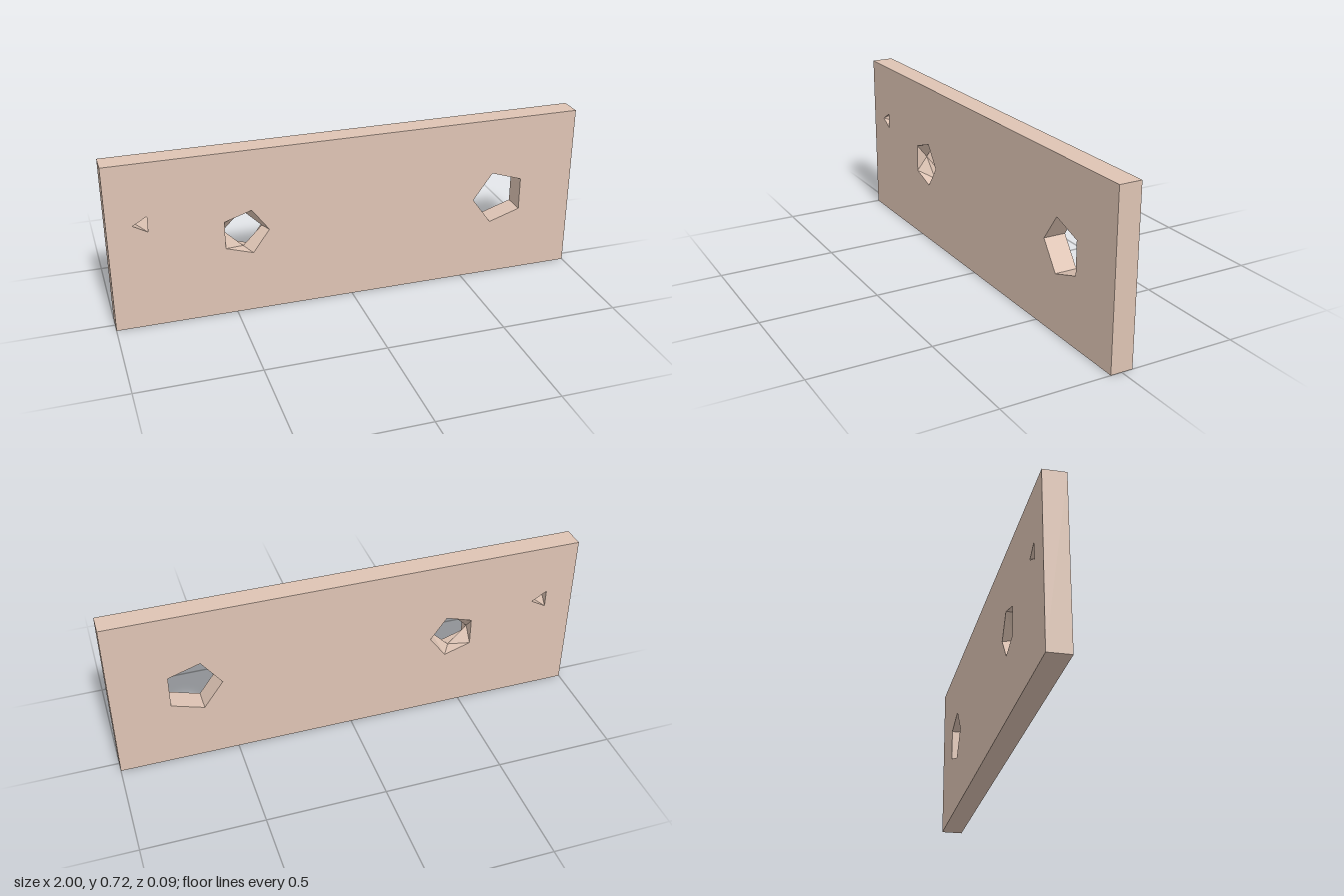
import * as THREE from 'three';
import { mergeGeometries } from 'three/addons/utils/BufferGeometryUtils.js';

const H = 0.717, D = 0.047; // plate height and half thickness

// Each hole is a stack of regular polygons from front to back
const ring = (x, y, r, sides, phase, z) => ({ x, y, r, sides, phase, z });
const HOLES = {
  largeHoleWall: [ring(0.665, 0.36, 0.12, 5, Math.PI, D), ring(0.665, 0.36, 0.12, 5, Math.PI, -D)],
  waistedHoleWall: [
    ring(-0.454, 0.36, 0.101, 5, 0, D),
    ring(-0.455, 0.36, 0.081, 4, 0, 0),
    ring(-0.454, 0.36, 0.101, 5, 0, -D),
  ],
  smallHoleWall: [
    ring(-0.859, 0.457, 0.039, 3, Math.PI, D),
    ring(-0.856, 0.457, 0.043, 3, Math.PI * 4 / 3, -D),
  ],
};

const angleAt = (g, i) => g.phase + (i * 2 * Math.PI) / g.sides;
const corner = (g, i) => {
  const a = angleAt(g, i);
  return [g.x + g.r * Math.cos(a), g.y + g.r * Math.sin(a), g.z];
};

// Wall between two rings, stepping round whichever ring is behind; it faces the hole's axis
function bridge(a, b) {
  const pos = [];
  let i = 0, j = 0;
  while (i < a.sides || j < b.sides) {
    const stepA = j >= b.sides || (i < a.sides && angleAt(a, i + 1) <= angleAt(b, j + 1) + 1e-6);
    if (stepA) {
      pos.push(...corner(a, i), ...corner(a, i + 1), ...corner(b, j));
      i++;
    } else {
      pos.push(...corner(a, i), ...corner(b, j + 1), ...corner(b, j));
      j++;
    }
  }
  const geo = new THREE.BufferGeometry();
  geo.setAttribute('position', new THREE.Float32BufferAttribute(pos, 3));
  geo.computeVertexNormals();
  return geo;
}

// Flat face pierced by the holes; the back one is drawn mirrored, then turned round
function face(front) {
  const s = front ? 1 : -1;
  const shape = new THREE.Shape([[-1, 0], [1, 0], [1, H], [-1, H]].map(p => new THREE.Vector2(...p)));
  for (const rings of Object.values(HOLES)) {
    const g = front ? rings[0] : rings[rings.length - 1];
    const pts = Array.from({ length: g.sides }, (_, i) => {
      const [x, y] = corner(g, i);
      return new THREE.Vector2(x * s, y);
    });
    shape.holes.push(new THREE.Path(pts));
  }
  const geo = new THREE.ShapeGeometry(shape).translate(0, 0, D);
  return front ? geo : geo.rotateY(Math.PI);
}

export function createModel() {
  const group = new THREE.Group();
  group.name = 'piercedPlate';
  const material = new THREE.MeshStandardMaterial({ color: 0xdec4b4, flatShading: true });
  const add = (name, geo) => {
    const mesh = new THREE.Mesh(geo, material);
    mesh.name = name;
    group.add(mesh);
  };

  add('frontFace', face(true));
  add('backFace', face(false));

  // Outer rim
  const rim = mergeGeometries([
    new THREE.PlaneGeometry(2, 2 * D).rotateX(-Math.PI / 2).translate(0, H, 0),
    new THREE.PlaneGeometry(2, 2 * D).rotateX(Math.PI / 2),
    new THREE.PlaneGeometry(2 * D, H).rotateY(Math.PI / 2).translate(1, H / 2, 0),
    new THREE.PlaneGeometry(2 * D, H).rotateY(-Math.PI / 2).translate(-1, H / 2, 0),
  ]);
  add('rim', rim);

  // Hole walls
  for (const [name, rings] of Object.entries(HOLES)) {
    add(name, mergeGeometries(rings.slice(1).map((g, i) => bridge(rings[i], g))));
  }
  return group;
}
